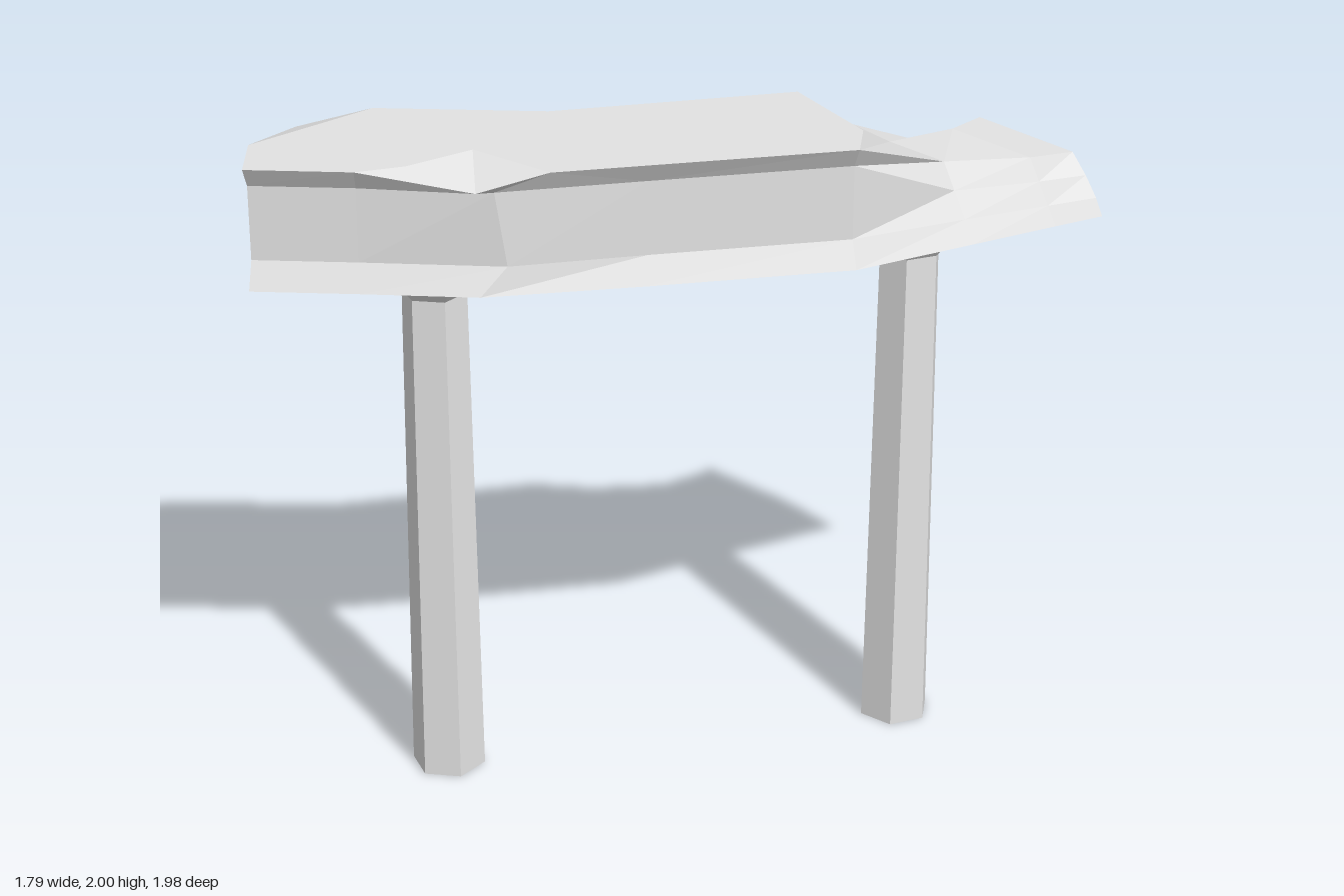
import * as THREE from 'three';

const stone = new THREE.MeshStandardMaterial({ color: 0xe3e3e3, flatShading: true, side: THREE.DoubleSide });
stone.name = 'pale stone';

const base = 1.64, wall = 1.72, lip = 1.94, top = 2;

// Point across the beam at height y, t from its back edge (0) to its front edge (1)
const across = (back, front) => (t, y) => {
  const p = new THREE.Vector2(...back).lerp(new THREE.Vector2(...front), t);
  return new THREE.Vector3(p.x, y, p.y);
};

// Intact section: a loop up the back, over the top and down the front,
// with the wall set in between the two mouldings. Chips replace single corners.
function intact(back, front, chips = {}) {
  const at = across(back, front);
  const inset = 0.035 / at(0, 0).distanceTo(at(1, 0));
  const loop = [
    at(0, base), at(inset, wall), at(inset, lip), at(0, top), at(0.85, top),
    at(1, top), at(1 - inset, lip), at(1 - inset, wall), at(1, base),
  ];
  for (const i in chips) loop[i] = new THREE.Vector3(...chips[i]);
  return loop;
}

// Broken section: back shoulder, ridge and front brow over sloping sides
function broken(back, front, shoulder, ridge, brow, bulge) {
  const at = across(back, front);
  const foot = at(0, base), toe = at(1, base);
  const [s, r, b] = [shoulder, ridge, brow].map((p) => at(...p));
  const side = (k) => b.clone().lerp(toe, k).add(at(bulge, 0).sub(at(0, 0)));
  return [foot, foot.clone().lerp(s, 0.4), foot.clone().lerp(s, 0.7), s, r, b, side(0.35), side(0.7), toe];
}

// Joins the sections into a closed, faceted solid
function loft(loops) {
  const points = [];
  const n = loops[0].length;
  for (let s = 1; s < loops.length; s++) {
    const A = loops[s - 1], B = loops[s];
    for (let i = 0; i < n; i++) {
      const j = (i + 1) % n;
      points.push(A[i], A[j], B[i], A[j], B[j], B[i]);
    }
  }
  // ends closed in level bands from back to front
  const cap = (loop) => {
    for (let i = 0; i < (n - 1) / 2; i++) {
      const a = loop[i], b = loop[i + 1], c = loop[n - 2 - i], d = loop[n - 1 - i];
      points.push(a, c, d);
      if (b !== c) points.push(a, b, c);
    }
  };
  cap([...loops[0]].reverse());
  cap(loops[loops.length - 1]);
  const geo = new THREE.BufferGeometry().setFromPoints(points);
  geo.computeVertexNormals();
  return geo;
}

function beam() {
  const mesh = new THREE.Mesh(loft([
    // near end with worn upper corners
    intact([-0.9, 0.54], [-0.67, 0.985], { 3: [-0.9, lip, 0.54], 4: [-0.79, top, 0.84] }),
    intact([-0.72, 0.41], [-0.42, 0.81], { 4: [-0.34, top, 0.69] }),
    // bend, chipped above and below the front corner
    intact([-0.31, 0.12], [-0.11, 0.605], {
      4: [-0.28, top, 0.48], 5: [-0.14, 1.95, 0.63], 7: [-0.1, wall, 0.55], 8: [-0.14, base, 0.62],
    }),
    intact([-0.1, -0.14], [0.17, 0.275], { 4: [-0.02, top, 0.48], 5: [0, top, 0.48] }),
    // last full-height section
    intact([0.15, -0.45], [0.56, -0.18], { 4: [0.48, top, -0.31] }),
    // broken far end
    broken([0.19, -0.6], [0.714, -0.54], [0.1, 1.88], [0.38, 1.865], [0.77, 1.86], 0),
    broken([0.285, -0.8], [0.825, -0.8], [0.12, 1.79], [0.32, 1.855], [0.82, 1.83], 0),
    broken([0.38, -0.99], [0.89, -0.95], [0.07, 1.8], [0.1, 1.83], [0.77, 1.81], 0.02),
  ]), stone);
  mesh.name = 'brokenBeam';
  return mesh;
}

// Tapered six-sided hollow column with a flared capital
function column(name, x, z, turn) {
  const group = new THREE.Group();
  group.name = name;
  const ring = (part, rTop, rBottom, y0, y1) => {
    const mesh = new THREE.Mesh(new THREE.CylinderGeometry(rTop, rBottom, y1 - y0, 6, 1, true), stone);
    mesh.position.y = (y0 + y1) / 2;
    mesh.name = part;
    group.add(mesh);
  };
  ring('shaft', 0.095, 0.11, 0, 1.55);
  ring('capitalFlare', 0.13, 0.095, 1.55, 1.59);
  ring('capitalBlock', 0.137, 0.13, 1.59, base);
  group.position.set(x, 0, z);
  group.rotation.y = turn;
  return group;
}

export function createModel() {
  const model = new THREE.Group();
  model.name = 'ruinedColonnade';
  model.add(
    beam(),
    column('rightColumn', -0.415, 0.507, 0),
    column('leftColumn', 0.465, -0.585, Math.PI / 2),
  );
  return model;
}
